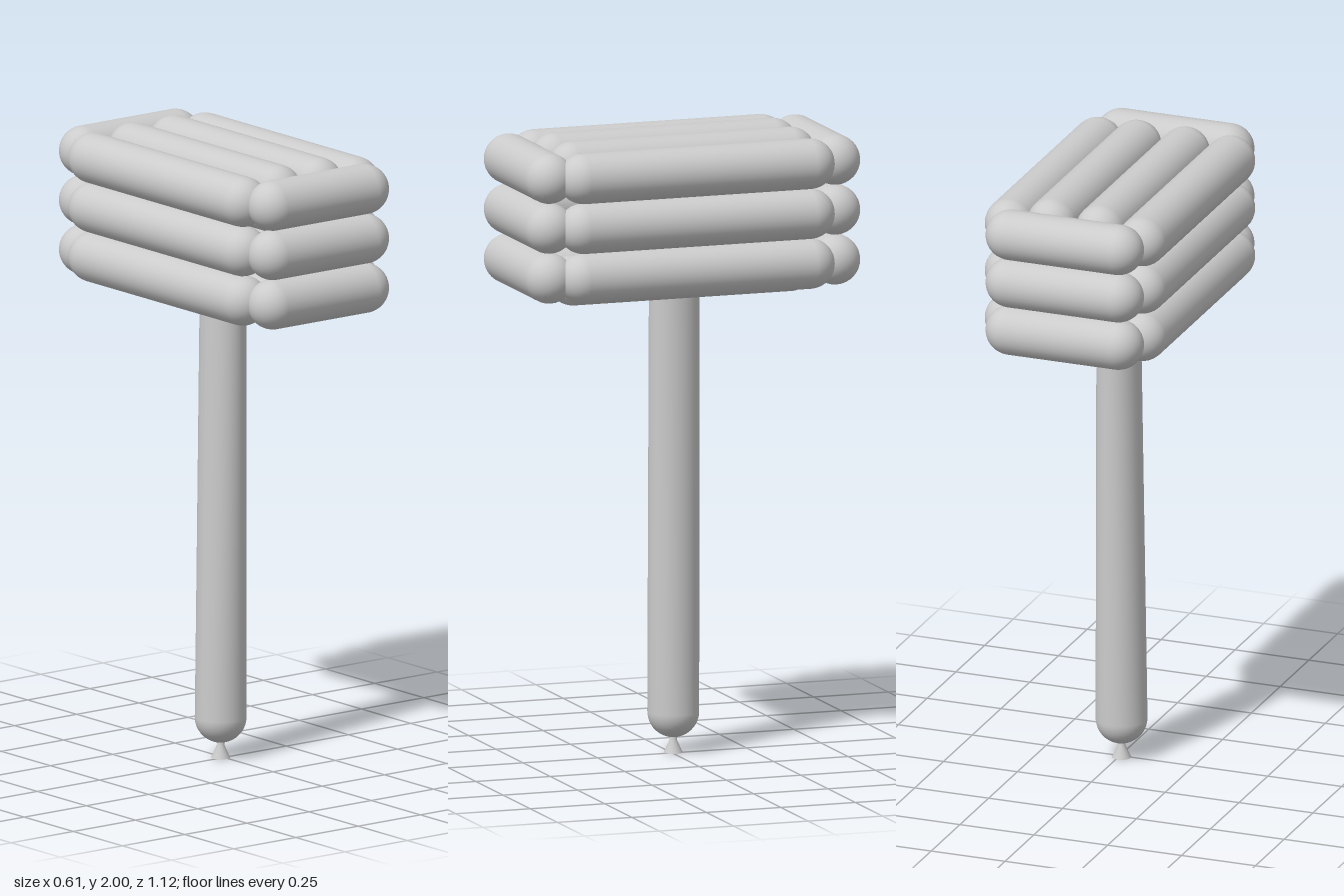
import * as THREE from 'three';

const R = 0.08; // radius of every balloon in the head

export function createModel() {
  const model = new THREE.Group();
  model.name = 'balloonHammer';
  const material = new THREE.MeshStandardMaterial({ color: 0xcccccc });

  // One inflated segment lying along x or z, given its full length
  const balloon = (name, axis, length, x, y, z) => {
    const geometry = new THREE.CapsuleGeometry(R, length - 2 * R, 12, 32);
    if (axis === 'x') geometry.rotateZ(Math.PI / 2);
    else geometry.rotateX(Math.PI / 2);
    const mesh = new THREE.Mesh(geometry, material);
    mesh.name = name;
    mesh.position.set(x, y, z);
    head.add(mesh);
  };

  // Head: three stacked rings of four balloons
  const head = new THREE.Group();
  head.name = 'head';
  model.add(head);
  for (const y of [1.585, 1.745, 1.905]) {
    balloon('frontBalloon', 'x', 0.525, 0, y, 0.48);
    balloon('backBalloon', 'x', 0.525, 0, y, -0.48);
    balloon('leftBalloon', 'z', 0.92, 0.224, y, 0);
    balloon('rightBalloon', 'z', 0.92, -0.224, y, 0);
  }

  // Pairs that close the head above and below
  for (const x of [-0.077, 0.087]) {
    balloon('topBalloon', 'z', 0.89, x, 1.92, 0);
    balloon('bottomBalloon', 'z', 0.89, x, 1.555, 0);
  }

  // Handle: a long balloon that narrows sideways towards the head
  const handleGeometry = new THREE.CapsuleGeometry(0.082, 1.4, 12, 32, 8);
  handleGeometry.translate(0, 0.832, 0);
  const p = handleGeometry.attributes.position;
  for (let i = 0; i < p.count; i++) {
    const t = THREE.MathUtils.clamp((p.getY(i) - 0.13) / 1.4, 0, 1);
    p.setX(i, p.getX(i) * (1 - 0.17 * t) - 0.008 + 0.01 * t);
    p.setZ(i, p.getZ(i) - 0.007);
  }
  handleGeometry.computeVertexNormals();
  const handle = new THREE.Mesh(handleGeometry, material);
  handle.name = 'handle';
  model.add(handle);

  // Knot: a small open flare below the handle
  const knotProfile = [[0.03, 0], [0.012, 0.04], [0.012, 0.06]].map(([r, y]) => new THREE.Vector2(r, y));
  const knotMaterial = material.clone();
  knotMaterial.side = THREE.DoubleSide;
  const knot = new THREE.Mesh(new THREE.LatheGeometry(knotProfile, 24), knotMaterial);
  knot.name = 'knot';
  knot.position.set(-0.008, 0, -0.007);
  model.add(knot);

  return model;
}
